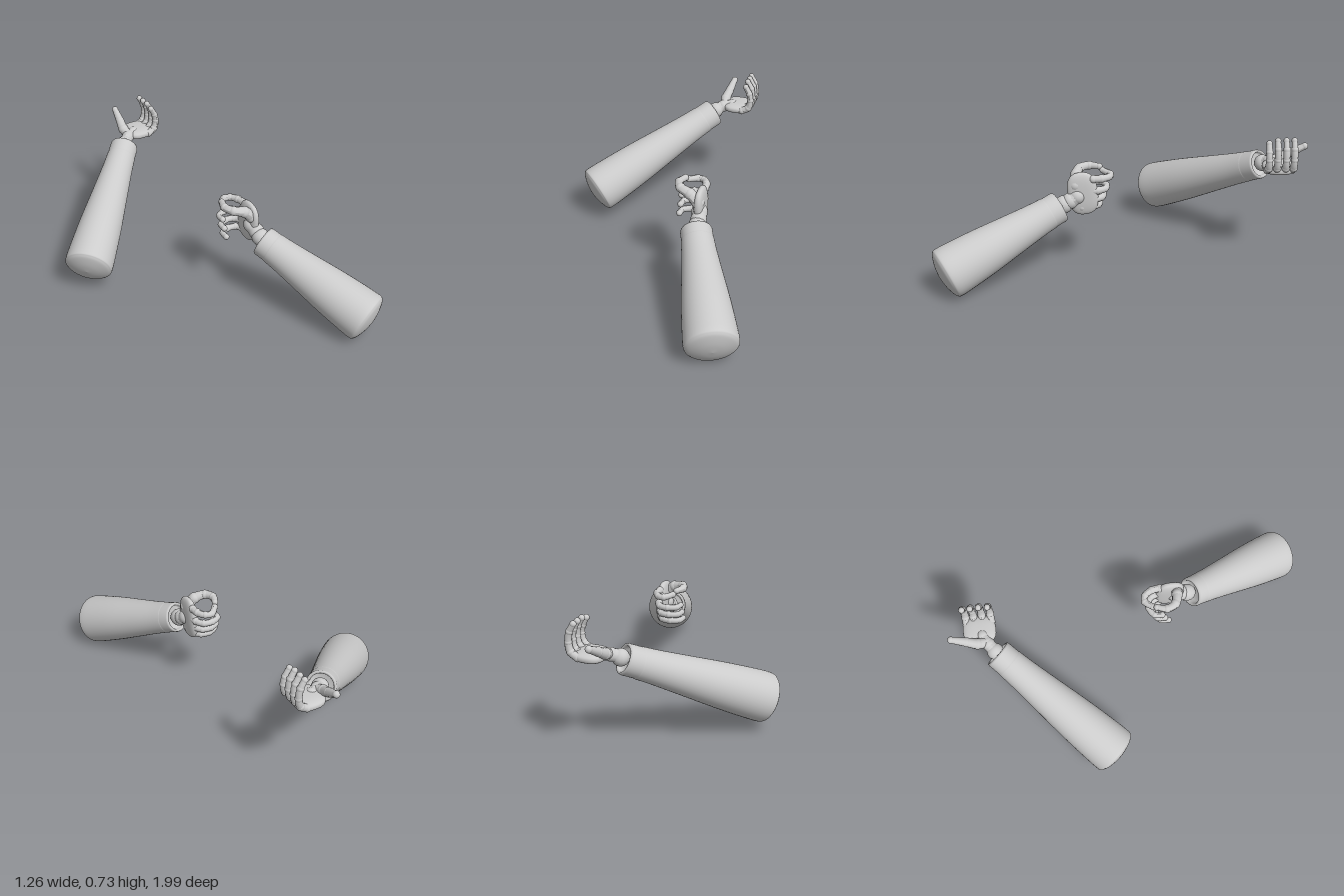
import * as THREE from 'three';

const material = new THREE.MeshStandardMaterial({ color: 0xcccccc, side: THREE.DoubleSide });
const V = (p) => new THREE.Vector3(...p);

function add(group, name, geometry) {
  const mesh = new THREE.Mesh(geometry, material);
  mesh.name = name;
  group.add(mesh);
  return mesh;
}

function ball(group, name, p, r) {
  add(group, name, new THREE.SphereGeometry(r, 16, 12)).position.set(...p);
}

// Tapering tube through the points with rounded joints and tip
function limb(group, name, points, radii) {
  const part = new THREE.Group();
  part.name = name;
  group.add(part);
  const curve = new THREE.CatmullRomCurve3(points.map(V));
  const segs = 24, sides = 12, last = radii.length - 1;
  const geo = new THREE.TubeGeometry(curve, segs, 1, sides);
  const pos = geo.attributes.position, v = new THREE.Vector3();
  for (let i = 0; i <= segs; i++) {
    const c = curve.getPointAt(i / segs);
    const t = (i / segs) * last, k = Math.min(Math.floor(t), last - 1);
    const r = THREE.MathUtils.lerp(radii[k], radii[k + 1], t - k) * 0.95;
    for (let j = 0; j <= sides; j++) {
      const n = i * (sides + 1) + j;
      v.fromBufferAttribute(pos, n).sub(c).multiplyScalar(r).add(c);
      pos.setXYZ(n, v.x, v.y, v.z);
    }
  }
  geo.computeVertexNormals();
  add(part, name + 'Skin', geo);
  points.forEach((p, i) => ball(part, name + 'Joint', p, radii[i] * 1.04));
}

// Softly squared ellipsoid
function palm(group, center, half, rotation) {
  const geo = new THREE.SphereGeometry(1, 28, 20);
  const pos = geo.attributes.position;
  const square = (n) => Math.sign(n) * Math.pow(Math.abs(n), 0.75);
  for (let i = 0; i < pos.count; i++) {
    pos.setXYZ(i, square(pos.getX(i)) * half[0], square(pos.getY(i)) * half[1], square(pos.getZ(i)) * half[2]);
  }
  geo.computeVertexNormals();
  const mesh = add(group, 'palm', geo);
  mesh.position.set(...center);
  mesh.rotation.set(...rotation);
}

// Sleeve with a domed elbow end and a recessed cuff opening
function sleeve(group, elbow, cuff, r0, r1) {
  const axis = V(cuff).sub(V(elbow)), L = axis.length();
  const mix = (t) => r0 + (r1 - r0) * t;
  const body = [
    [0, -0.028], [r0 * 0.4, -0.022], [r0 * 0.75, -0.009], [r0 * 0.93, 0.004], [r0, 0.025],
    [mix(0.06), L * 0.15], [mix(0.26), L * 0.35], [mix(0.58), L * 0.58],
    [mix(0.85), L * 0.78], [mix(0.96), L * 0.9],
  ];
  const spline = new THREE.SplineCurve(body.map((p) => new THREE.Vector2(...p)));
  const profile = spline.getPoints(45);
  profile[0].x = 0;
  add2(group, 'sleeve', profile, elbow, axis);
  const rim = [
    [mix(0.96), L * 0.9], [r1 * 1.0, L * 0.91], [r1, L - 0.01], [r1 * 0.96, L],
    [r1 * 0.84, L], [r1 * 0.8, L - 0.008], [r1 * 0.78, L - 0.035], [0, L - 0.035],
  ].map((p) => new THREE.Vector2(...p));
  add2(group, 'cuff', rim, elbow, axis);
}

function add2(group, name, profile, base, axis) {
  const mesh = add(group, name, new THREE.LatheGeometry(profile, 40));
  mesh.position.set(...base);
  mesh.quaternion.setFromUnitVectors(new THREE.Vector3(0, 1, 0), axis.clone().normalize());
}

// Arm at the back: open hand, palm up, fingers raised
function openArm() {
  const arm = new THREE.Group();
  arm.name = 'openHandArm';
  sleeve(arm, [-0.542, 0.175, -0.215], [0.012, 0.52, -0.757], 0.133, 0.08);
  ball(arm, 'wristBall', [0.022, 0.53, -0.767], 0.045);
  limb(arm, 'wrist', [[0.02, 0.53, -0.765], [0.06, 0.55, -0.795], [0.11, 0.553, -0.82]], [0.04, 0.034, 0.034]);
  palm(arm, [0.145, 0.553, -0.833], [0.083, 0.028, 0.088], [0, 0, 0]);
  [-0.765, -0.81, -0.855, -0.897].forEach((z, i) => {
    const d = i === 0 ? -0.014 : 0;
    limb(arm, 'finger', [
      [0.185, 0.552, z], [0.222, 0.575, z], [0.234, 0.625, z],
      [0.226, 0.68 + d, z], [0.204, 0.722 + d, z],
    ], [0.021, 0.021, 0.019, 0.0185, 0.016]);
  });
  limb(arm, 'thumb', [
    [0.07, 0.555, -0.8], [0.062, 0.575, -0.85], [0.07, 0.605, -0.905], [0.08, 0.645, -0.98],
  ], [0.03, 0.029, 0.024, 0.018]);
  return arm;
}

// Arm at the front: fingers curled across, thumb on top
function curledArm() {
  const arm = new THREE.Group();
  arm.name = 'curledHandArm';
  sleeve(arm, [0.5, 0.13, 0.925], [0.238, 0.385, 0.335], 0.138, 0.084);
  ball(arm, 'wristBall', [0.237, 0.397, 0.312], 0.048);
  limb(arm, 'wrist', [[0.238, 0.395, 0.32], [0.234, 0.415, 0.28], [0.227, 0.44, 0.24]], [0.044, 0.042, 0.042]);
  palm(arm, [0.226, 0.453, 0.212], [0.027, 0.118, 0.08], [0.12, 0, 0]);
  // height, forward-most z of each finger
  [[0.535, 0.068], [0.468, 0.09], [0.42, 0.107], [0.377, 0.127]].forEach(([y, z], i) => {
    const tip = i === 0
      ? [[0.165, y, z - 0.003], [0.125, y + 0.008, z + 0.035]]
      : [[0.152, y, z - 0.004], [0.106, y, z + 0.02], [0.1, y, z + 0.062]];
    limb(arm, 'finger', [[0.23, y, z + 0.09], [0.225, y, z + 0.045], [0.2, y, z + 0.004], ...tip],
      [0.021, 0.021, 0.019, 0.019, 0.017, 0.016].slice(0, 3 + tip.length));
  });
  limb(arm, 'thumb', [
    [0.22, 0.5, 0.25], [0.175, 0.54, 0.245], [0.118, 0.556, 0.225], [0.095, 0.56, 0.175], [0.112, 0.56, 0.122],
  ], [0.034, 0.03, 0.025, 0.022, 0.017]);
  return arm;
}

export function createModel() {
  const model = new THREE.Group();
  model.name = 'pairOfArms';
  model.add(openArm(), curledArm());
  return model;
}
